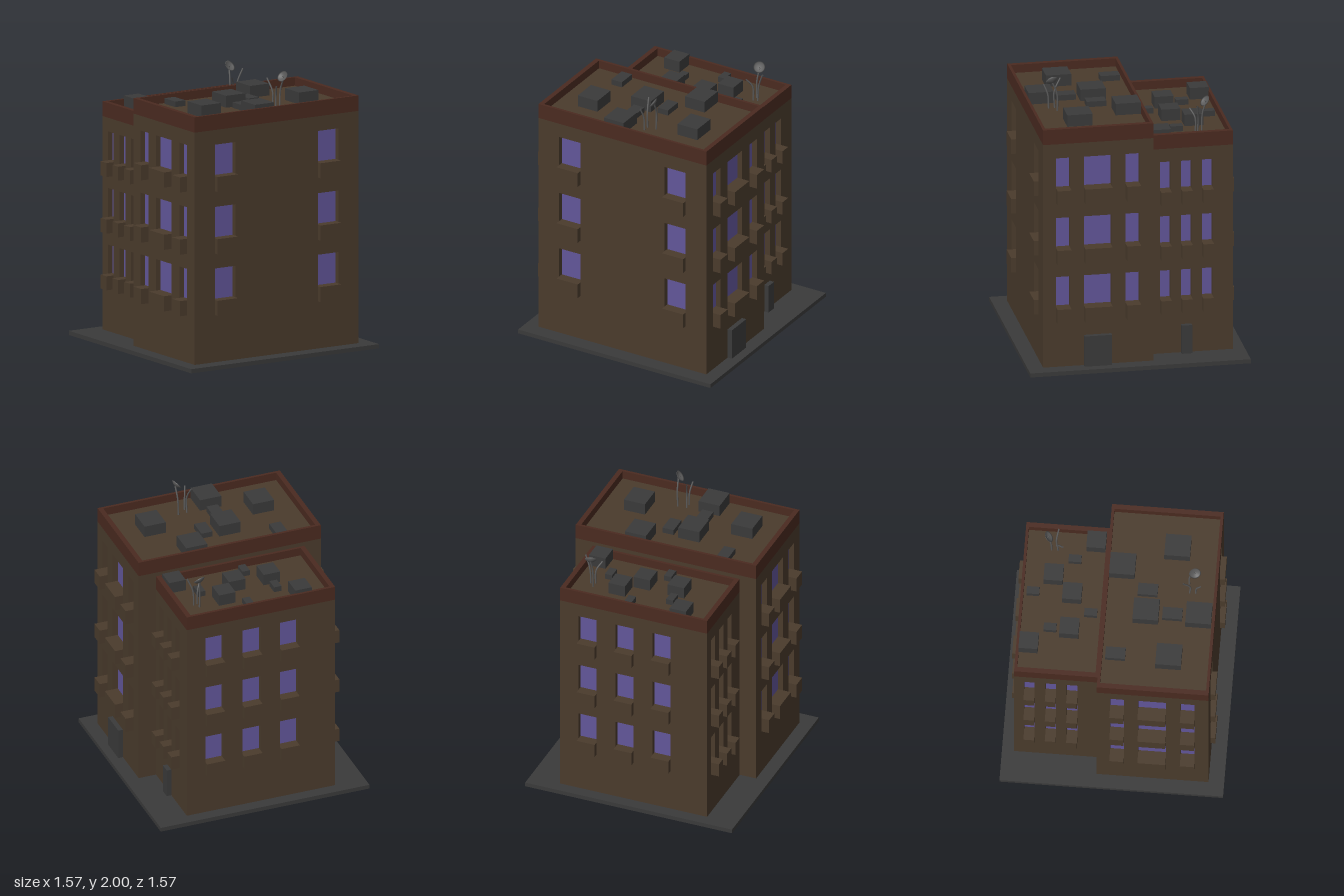
import * as THREE from 'three';

const mat = (color, extra = {}) => new THREE.MeshStandardMaterial({ color, ...extra });
const brick = mat(0x4a3b2c), trim = mat(0x4a2a20), dark = mat(0x3a3a3a), glass = mat(0x62569a);
const metal = mat(0x5a5a5a, { side: THREE.DoubleSide });
const RECESS = 0.04, GROUND = 0.03;

function add(parent, name, geometry, material, x = 0, y = 0, z = 0) {
  const mesh = new THREE.Mesh(geometry, material);
  mesh.name = name;
  mesh.position.set(x, y, z);
  parent.add(mesh);
  return mesh;
}

// Box given by its centre in x and z and by its bottom and top
function box(parent, name, material, x, z, w, d, y0, y1) {
  return add(parent, name, new THREE.BoxGeometry(w, y1 - y0, d), material, x, (y0 + y1) / 2, z);
}

function rectangle(target, x0, y0, x1, y1) {
  target.moveTo(x0, y0);
  target.lineTo(x1, y0);
  target.lineTo(x1, y1);
  target.lineTo(x0, y1);
  target.closePath();
  return target;
}

const extrude = (shape, depth) => new THREE.ExtrudeGeometry(shape, { depth, bevelEnabled: false });

// Wall panel with recessed windows and a planter box under each one.
// Local +z points outward, with the outer face at z = 0.
function wall(parent, name, width, top, columns, rows, planterDepth) {
  const group = new THREE.Group();
  group.name = name;
  const shape = rectangle(new THREE.Shape(), -width / 2, GROUND, width / 2, top);
  for (const [x, w] of columns) {
    for (const y of rows.sills) {
      shape.holes.push(rectangle(new THREE.Path(), x - w / 2, y, x + w / 2, y + rows.height));
      add(group, 'windowPane', new THREE.PlaneGeometry(w, rows.height), glass,
        x, y + rows.height / 2, -RECESS + 0.002);
      box(group, 'planterBox', brick, x, planterDepth / 2, w, planterDepth, y - rows.drop, y);
    }
  }
  add(group, 'wallPanel', extrude(shape, RECESS), brick, 0, 0, -RECESS);
  parent.add(group);
  return group;
}

// Building block: core, four walls, parapet ring and roof units
function block(parent, b) {
  const group = new THREE.Group();
  group.name = b.name;
  group.position.set(b.x, 0, b.z);
  parent.add(group);
  const { w, d, band, top, floor } = b;

  box(group, 'core', brick, 0, 0, w - 2 * RECESS, d - 2 * RECESS, GROUND, floor);

  const sides = [
    ['frontWall', 0, w, d / 2, b.front, 0.035],
    ['rightWall', Math.PI / 2, d - 2 * RECESS, w / 2, b.side, 0.06],
    ['backWall', Math.PI, w, d / 2, b.back, 0.035],
    ['leftWall', -Math.PI / 2, d - 2 * RECESS, w / 2, b.side, 0.06],
  ];
  for (const [name, angle, width, out, columns, depth] of sides) {
    const panel = wall(group, name, width, band, columns, b.rows, depth);
    panel.rotation.y = angle;
    panel.position.set(Math.sin(angle) * out, 0, Math.cos(angle) * out);
  }

  // Parapet
  const ring = rectangle(new THREE.Shape(), -w / 2, -d / 2, w / 2, d / 2);
  ring.holes.push(rectangle(new THREE.Path(), -w / 2 + 0.035, -d / 2 + 0.02, w / 2 - 0.035, d / 2 - 0.02));
  add(group, 'parapet', extrude(ring, top - band), trim, 0, band, 0).rotation.x = -Math.PI / 2;
  box(group, 'roofDeck', brick, 0, 0, w - 0.06, d - 0.03, band, floor);

  // Large and small roof units, placed in building coordinates
  for (const [x, z] of b.large)
    box(group, 'largeRoofUnit', dark, x - b.x, z - b.z, b.largeSize[0], b.largeSize[1], floor, top + 0.025);
  for (const [x, z] of b.small)
    box(group, 'smallRoofUnit', dark, x - b.x, z - b.z, b.smallSize[0], b.smallSize[1], floor, floor + 0.04);

  // Door on the +x side
  const [doorZ, doorWidth, doorTop] = b.door;
  box(group, 'door', dark, w / 2 + 0.0075, doorZ - b.z, 0.055, doorWidth, GROUND, doorTop);
}

// Bent rod through a few points
function rod(parent, name, points) {
  const curve = new THREE.CatmullRomCurve3(points.map((p) => new THREE.Vector3(...p)));
  add(parent, name, new THREE.TubeGeometry(curve, 10, 0.006, 8, false), metal);
}

// Shallow bowl facing along the given normal, with a feed pin
function dish(parent, centre, normal) {
  const profile = [[0.0001, -0.012], [0.02, -0.008], [0.034, 0], [0.042, 0.008], [0.034, 0.004], [0.02, -0.004], [0.0001, -0.008]];
  const group = new THREE.Group();
  group.name = 'satelliteDish';
  add(group, 'bowl', new THREE.LatheGeometry(profile.map((p) => new THREE.Vector2(...p)), 24), metal);
  add(group, 'feedPin', new THREE.CylinderGeometry(0.002, 0.003, 0.02, 8), metal);
  group.position.set(...centre);
  group.quaternion.setFromUnitVectors(new THREE.Vector3(0, 1, 0), new THREE.Vector3(...normal).normalize());
  parent.add(group);
}

export function createModel() {
  const model = new THREE.Group();
  model.name = 'apartmentBuilding';

  box(model, 'basePlate', dark, 0, 0, 1.57, 1.57, 0, GROUND);

  block(model, {
    name: 'frontBlock', x: 0, z: 0.2825, w: 1.37, d: 0.785, band: 1.69, top: 1.8, floor: 1.74,
    rows: { sills: [0.475, 0.915, 1.36], height: 0.225, drop: 0.108 },
    front: [[-0.43, 0.173], [0.43, 0.173]],
    side: [[-0.25, 0.1], [-0.005, 0.196], [0.245, 0.1]],
    back: [],
    large: [[-0.41, 0.375], [-0.085, 0.19], [-0.085, 0.56], [0.24, 0], [0.405, 0.375]], largeSize: [0.16, 0.18],
    small: [[-0.41, 0], [0.08, 0.19], [-0.085, 0.375]], smallSize: [0.085, 0.14],
    door: [0.288, 0.195, 0.255],
  });

  block(model, {
    name: 'rearBlock', x: -0.0025, z: -0.405, w: 1.115, d: 0.59, band: 1.555, top: 1.66, floor: 1.6,
    rows: { sills: [0.44, 0.845, 1.25], height: 0.208, drop: 0.1 },
    front: [],
    side: [[-0.1875, 0.075], [-0.0375, 0.075], [0.1125, 0.075]],
    back: [[-0.35, 0.137], [-0.07, 0.137], [0.21, 0.137]],
    large: [[-0.33, -0.615], [-0.2, -0.34], [0.06, -0.34], [0.19, -0.48], [0.455, -0.2]], largeSize: [0.125, 0.135],
    small: [[0.06, -0.615], [-0.2, -0.475], [0.32, -0.34], [-0.07, -0.2]], smallSize: [0.055, 0.09],
    door: [-0.3675, 0.075, 0.24],
  });

  // Rooftop antennas and dishes
  rod(model, 'antenna', [[0.09, 1.74, 0.482], [0.09, 1.86, 0.485], [0.073, 1.955, 0.438]]);
  rod(model, 'antenna', [[0.09, 1.74, 0.525], [0.088, 1.84, 0.53], [0.075, 1.915, 0.557]]);
  rod(model, 'dishStand', [[0.155, 1.74, 0.475], [0.16, 1.87, 0.478], [0.165, 1.955, 0.512]]);
  dish(model, [0.158, 1.965, 0.513], [-0.77, 0.6, 0.2]);

  rod(model, 'antenna', [[0.385, 1.6, -0.465], [0.38, 1.71, -0.463], [0.347, 1.77, -0.43]]);
  rod(model, 'antenna', [[0.415, 1.6, -0.475], [0.422, 1.72, -0.478], [0.46, 1.82, -0.465]]);
  rod(model, 'dishStand', [[0.385, 1.6, -0.51], [0.385, 1.735, -0.515], [0.393, 1.822, -0.538]]);
  dish(model, [0.393, 1.83, -0.535], [0.22, 0.62, 0.72]);

  return model;
}
